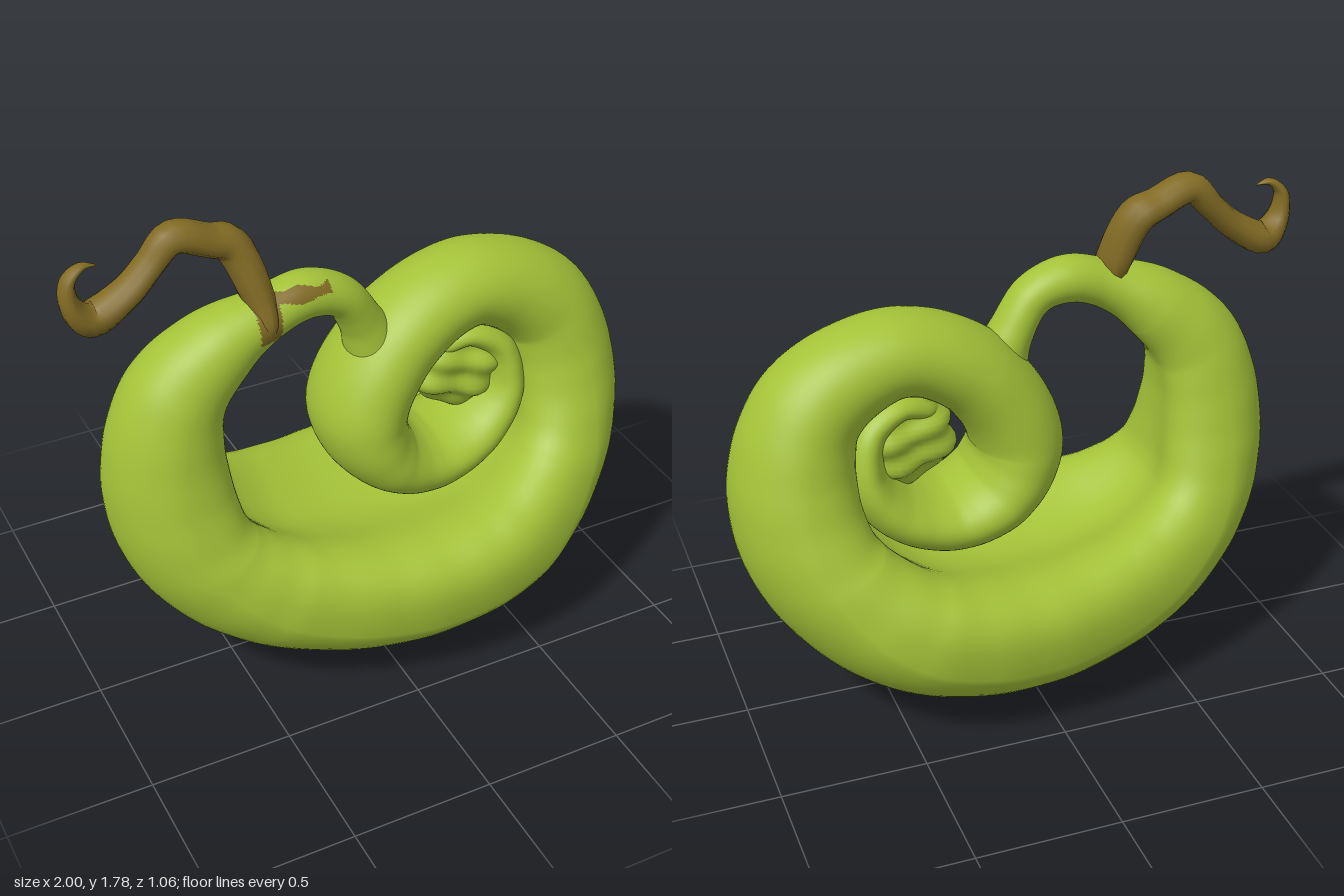
import * as THREE from 'three';

const green = new THREE.MeshStandardMaterial({ color: 0xa4c238 });
green.name = 'gourd green';
const brown = new THREE.MeshStandardMaterial({ color: 0x826b24 });
brown.name = 'stem brown';

// Sweeps a rounded section along a path. Each section: x, y, z, radius in the xy plane,
// radius along z, and fold (0 = ellipse, 1 = narrow outside, two lips and a valley inside).
// Faces for which isSecond(centre) is true get the second material.
function sweep(sections, rings, sides, lump, isSecond = () => false) {
  const path = new THREE.CatmullRomCurve3(sections.map(s => new THREE.Vector3(s[0], s[1], s[2])));
  const shape = new THREE.CatmullRomCurve3(
    sections.map(s => new THREE.Vector3(s[3], s[4], s[5] || 0)), false, 'catmullrom', 0.5);
  const points = [];
  for (let i = 0; i <= rings; i++) {
    const t = i / rings;
    const c = path.getPoint(t), r = shape.getPoint(t), d = path.getTangent(t);
    const fold = Math.max(0, r.z);
    const n = new THREE.Vector3(d.y, -d.x, 0).normalize();
    for (let j = 0; j < sides; j++) {
      const a = j / sides * Math.PI * 2;
      const k = 1 + lump * Math.sin(a * 3 + i * 0.37) * Math.sin(i * 0.23 - a * 2);
      const u = Math.cos(a), v = Math.sin(a);
      const valley = 0.5 * fold * Math.exp(-v * v * 4) * Math.min(1, -u * 3);
      const out = u > 0 ? u : (valley - Math.pow(-u, 1 - 0.25 * fold)) * (1 + 0.37 * fold);
      points.push(c.clone()
        .addScaledVector(n, out * r.x * k)
        .add(new THREE.Vector3(0, 0, v * (1 - 0.2 * fold * u) * r.y * k)));
    }
  }
  const first = [], second = [];
  const face = (a, b, c) => {
    const m = points[a].clone().add(points[b]).add(points[c]).divideScalar(3);
    (isSecond(m) ? second : first).push(a, b, c);
  };
  for (let i = 0; i < rings; i++) {
    for (let j = 0; j < sides; j++) {
      const k = (j + 1) % sides;
      const a = i * sides + j, b = a + sides, c = i * sides + k, d = c + sides;
      face(a, b, c);
      face(b, d, c);
    }
  }
  const g = new THREE.BufferGeometry().setFromPoints(points);
  g.setIndex([...first, ...second]);
  g.addGroup(0, first.length, 0);
  g.addGroup(first.length, second.length, 1);
  g.computeVertexNormals();
  return g;
}

export function createModel() {
  const group = new THREE.Group();
  group.name = 'curledGourd';

  // Body: thin neck, left arm, heavy belly, then the whorl curling inwards
  const body = [
    [0.05, 1.17, 0.04, 0.1, 0.11],
    [0.00, 1.29, 0.04, 0.075, 0.09],
    [-0.08, 1.405, 0.05, 0.07, 0.085],
    [-0.20, 1.445, 0.05, 0.08, 0.09],
    [-0.34, 1.41, 0.05, 0.085, 0.1],
    [-0.50, 1.33, 0.03, 0.125, 0.145, 0.1],
    [-0.66, 1.165, 0.01, 0.165, 0.19, 0.3],
    [-0.71, 0.885, 0, 0.2, 0.25, 0.5],
    [-0.65, 0.60, 0, 0.215, 0.33, 0.75],
    [-0.42, 0.385, 0, 0.25, 0.42, 0.95],
    [0.04, 0.278, 0, 0.275, 0.51, 1],
    [0.48, 0.365, 0, 0.265, 0.505, 1],
    [0.745, 0.63, 0, 0.225, 0.39, 0.8],
    [0.79, 0.92, 0, 0.205, 0.28, 0.4],
    [0.70, 1.165, 0, 0.175, 0.21, 0.15],
    [0.42, 1.295, 0, 0.145, 0.18],
    [0.15, 1.18, 0.01, 0.15, 0.2],
    [0.00, 0.92, 0.015, 0.158, 0.23],
    [0.08, 0.74, 0.015, 0.135, 0.24],
    [0.25, 0.67, 0.01, 0.115, 0.22],
    [0.44, 0.73, 0, 0.1, 0.2],
    [0.55, 0.88, 0, 0.08, 0.17],
    [0.53, 1.04, 0, 0.065, 0.13],
    [0.42, 1.11, 0, 0.05, 0.1],
    [0.32, 1.08, 0, 0.04, 0.07],
    [0.26, 1.03, 0, 0.003, 0.003],
  ];
  // Brown skin around the foot of the stem, running out in a streak along the neck
  const stained = p => (p.x > -0.405 && p.x < -0.325 && p.y > 1.36 && p.z > 0)
    || (p.x > -0.36 && p.x < -0.14 && p.z > 0.04
      && Math.abs(p.y - 1.488) < 0.018 + 0.006 * Math.sin(p.x * 45));
  const bodyMesh = new THREE.Mesh(sweep(body, 500, 64, 0.004, stained), [green, brown]);
  bodyMesh.name = 'gourdBody';
  group.add(bodyMesh);

  // Wrinkled heart closing most of the whorl
  const heart = new THREE.SphereGeometry(1, 48, 32);
  const pos = heart.attributes.position;
  for (let i = 0; i < pos.count; i++) {
    const x = pos.getX(i), y = pos.getY(i), z = pos.getZ(i);
    const k = 1 + 0.1 * Math.sin(x * 5 + y * 4) * Math.cos(y * 6 - x * 2);
    pos.setXYZ(i, x * 0.2 * k, y * 0.17 * k, z * 0.1 * k * k);
  }
  heart.computeVertexNormals();
  const heartMesh = new THREE.Mesh(heart, green);
  heartMesh.name = 'whorlHeart';
  heartMesh.position.set(0.42, 0.985, 0);
  group.add(heartMesh);

  // Crooked stem ending in a small hook
  const stem = [
    [-0.375, 1.36, 0.08, 0.03, 0.07],
    [-0.365, 1.43, 0.07, 0.045, 0.09],
    [-0.375, 1.52, 0.04, 0.055, 0.09],
    [-0.43, 1.655, 0.0, 0.06, 0.075],
    [-0.50, 1.69, 0.0, 0.052, 0.07],
    [-0.62, 1.73, 0.0, 0.053, 0.06],
    [-0.70, 1.66, 0.0, 0.045, 0.06],
    [-0.79, 1.575, 0.0, 0.048, 0.065],
    [-0.90, 1.52, 0.0, 0.055, 0.07],
    [-0.962, 1.58, 0.01, 0.036, 0.05],
    [-0.965, 1.67, 0.01, 0.022, 0.035],
    [-0.92, 1.712, 0.01, 0.012, 0.02],
    [-0.87, 1.705, 0.01, 0.002, 0.002],
  ];
  const stemMesh = new THREE.Mesh(sweep(stem, 60, 12, 0.06), [brown, brown]);
  stemMesh.name = 'stem';
  group.add(stemMesh);

  return group;
}
